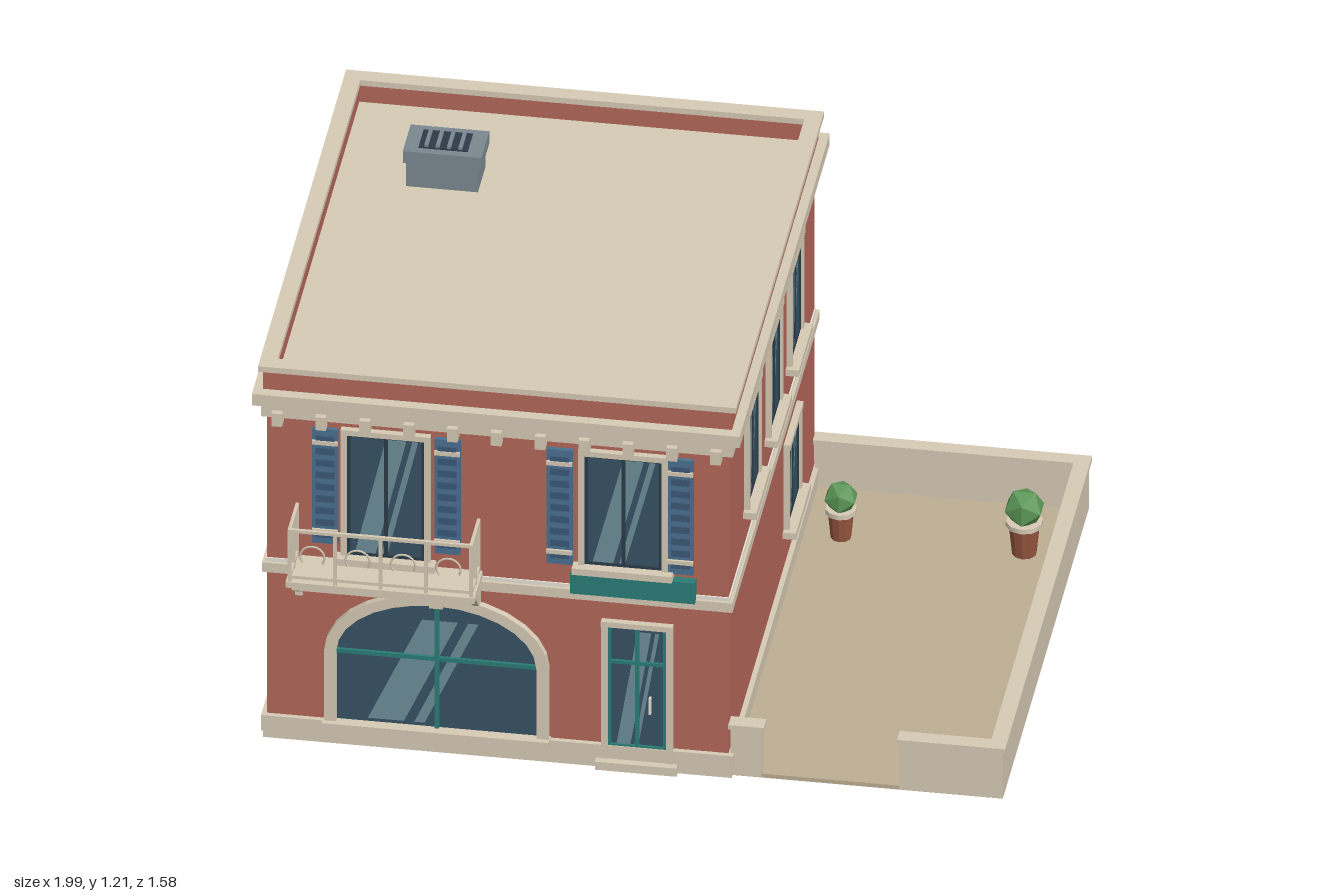
import * as THREE from 'three';

const mat = (color, opts = {}) => new THREE.MeshStandardMaterial({ color, ...opts });
const M = {
  brick: mat(0xb4675a), stone: mat(0xd6cab5), pale: mat(0xe9e3d6), floor: mat(0xbdae94), glass: mat(0x365265),
  shine: mat(0x6d8e9b, { side: THREE.DoubleSide }), sash: mat(0x2a3b47), teal: mat(0x2a7d76),
  shutter: mat(0x4b7090), slat: mat(0x3a5a78), metal: mat(0x7b8890), dark: mat(0x2c3a48),
  pot: mat(0x96553f, { flatShading: true }), leaf: mat(0x5c9657, { flatShading: true }),
};
// Main walls
const X0 = -0.955, X1 = 0.265, Z0 = -0.755, Z1 = 0.65;

function add(parent, name, geometry, material, x = 0, y = 0, z = 0) {
  const m = new THREE.Mesh(geometry, material);
  m.name = name;
  m.position.set(x, y, z);
  parent.add(m);
  return m;
}
// Box given by its two corners
function box(parent, name, material, x0, x1, y0, y1, z0, z1) {
  return add(parent, name, new THREE.BoxGeometry(x1 - x0, y1 - y0, z1 - z0), material,
    (x0 + x1) / 2, (y0 + y1) / 2, (z0 + z1) / 2);
}
function group(parent, name, x = 0, y = 0, z = 0, ry = 0) {
  const g = new THREE.Group();
  g.name = name;
  g.position.set(x, y, z);
  g.rotation.y = ry;
  parent.add(g);
  return g;
}
// Slab around the building that overhangs the walls by o
const course = (p, name, m, o, y0, y1) => box(p, name, m, X0 - o, X1 + o, y0, y1, Z0 - o, Z1 + o);

// Rectangular ring, extruded upward
function ring(parent, name, material, [ax, bx, az, bz], t, y0, y1) {
  const rect = (C, i) => new C([[ax + i, -bz + i], [bx - i, -bz + i], [bx - i, -az - i], [ax + i, -az - i]]
    .map(p => new THREE.Vector2(...p)));
  const s = rect(THREE.Shape, 0);
  s.holes.push(rect(THREE.Path, t));
  const g = new THREE.ExtrudeGeometry(s, { depth: y1 - y0, bevelEnabled: false }).rotateX(-Math.PI / 2);
  return add(parent, name, g, material, 0, y0, 0);
}

// Two slanted reflections on a pane
function shine(parent, w, h, x, y, z) {
  for (const [a, b] of [[-0.42, -0.14], [-0.06, 0.02]]) {
    const s = new THREE.Shape([[a, -0.5], [b, -0.5], [b + 0.42, 0.5], [a + 0.42, 0.5]]
      .map(([u, v]) => new THREE.Vector2(u * w, v * h)));
    add(parent, 'reflection', new THREE.ShapeGeometry(s), M.shine, x, y, z);
  }
}

// Framed window in wall space: x along the wall, z outward
function windowUnit(wall, x, y0, w, h, name = 'window') {
  const g = group(wall, name, x, y0, 0), t = 0.016, a = w / 2;
  box(g, 'glass', M.glass, -a, a, 0, h, -0.01, 0.004);
  shine(g, w * 0.95, h * 0.96, 0, h / 2, 0.005);
  box(g, 'centreSash', M.sash, -0.005, 0.005, 0, h, 0, 0.008);
  for (const s of [-1, 1]) {
    box(g, 'sash', M.sash, s * (a - 0.004) - 0.004, s * (a - 0.004) + 0.004, 0, h, 0, 0.008);
    box(g, 'frameSide', M.stone, s * (a + t / 2) - t / 2, s * (a + t / 2) + t / 2, 0, h + t, -0.005, 0.015);
  }
  for (const y of [0.004, h - 0.004]) box(g, 'sash', M.sash, -a, a, y - 0.004, y + 0.004, 0, 0.008);
  box(g, 'lintel', M.stone, -a - t, a + t, h, h + t, -0.005, 0.018);
  box(g, 'sill', M.stone, -a - 0.03, a + 0.03, -0.02, 0, -0.005, 0.035);
  return g;
}

function door(wall, x, name) {
  const g = group(wall, name, x), a = 0.077;
  box(g, 'glass', M.glass, -a, a, 0.03, 0.44, -0.01, 0.004);
  shine(g, a * 1.7, 0.35, 0, 0.25, 0.005);
  box(g, 'mullion', M.teal, -0.005, 0.005, 0.03, 0.44, 0, 0.011);
  box(g, 'transom', M.teal, -a, a, 0.325, 0.335, 0, 0.011);
  box(g, 'kickRail', M.teal, -a, a, 0.03, 0.075, 0, 0.011);
  for (const s of [-1, 1]) {
    box(g, 'stile', M.teal, s * 0.073 - 0.004, s * 0.073 + 0.004, 0.03, 0.44, 0, 0.011);
    box(g, 'frameSide', M.stone, s * 0.086 - 0.009, s * 0.086 + 0.009, 0.02, 0.456, -0.005, 0.016);
  }
  box(g, 'lintel', M.stone, -0.095, 0.095, 0.44, 0.456, -0.005, 0.018);
  box(g, 'handle', M.pale, 0.032, 0.038, 0.18, 0.23, 0.008, 0.02);
  box(g, 'doorStep', M.stone, -0.108, 0.108, 0.005, 0.03, 0, 0.035);
}

// Outline with a half-elliptical top
function archPoints(a, y0, spring, rise) {
  const pts = [new THREE.Vector2(-a, y0), new THREE.Vector2(a, y0)];
  for (let i = 0; i <= 14; i++) {
    const t = Math.PI * i / 14;
    pts.push(new THREE.Vector2(a * Math.cos(t), spring + rise * Math.sin(t)));
  }
  return pts;
}
function archWindow(wall, x) {
  const g = group(wall, 'archWindow', x);
  const inner = archPoints(0.265, 0.075, 0.29, 0.17);
  const ext = (s, depth) => new THREE.ExtrudeGeometry(s, { depth, bevelEnabled: false });
  const frame = new THREE.Shape(archPoints(0.297, 0.075, 0.29, 0.2));
  frame.holes.push(new THREE.Path(inner));
  add(g, 'archFrame', ext(frame, 0.025), M.stone, 0, 0, -0.005);
  add(g, 'glass', ext(new THREE.Shape(inner), 0.012), M.glass, 0, 0, -0.008);
  shine(g, 0.34, 0.32, -0.04, 0.245, 0.005);
  box(g, 'mullion', M.teal, -0.006, 0.006, 0.075, 0.46, 0, 0.012);
  box(g, 'transom', M.teal, -0.265, 0.265, 0.284, 0.296, 0, 0.012);
  box(g, 'sill', M.stone, -0.3, 0.3, 0.055, 0.075, -0.005, 0.035);
  box(g, 'keystone', M.stone, -0.018, 0.018, 0.455, 0.495, 0, 0.025);
}

function shutter(wall, x, y0, y1) {
  const g = group(wall, 'shutter', x);
  box(g, 'panel', M.shutter, -0.034, 0.034, y0, y1, -0.003, 0.012);
  for (let i = 0; i < 9; i++) {
    const y = y0 + 0.03 + i * (y1 - y0 - 0.06) / 8;
    box(g, 'louvre', M.slat, -0.025, 0.025, y - 0.01, y + 0.01, 0.008, 0.016);
  }
  for (const y of [y0 + 0.04, y1 - 0.04]) box(g, 'hingeStrap', M.stone, -0.034, 0.034, y - 0.006, y + 0.006, 0.01, 0.019);
}

function balcony(wall) {
  const g = group(wall, 'balcony', -0.635), r = 0.24, d = 0.127, t = 0.0045;
  box(g, 'slabLower', M.stone, -0.235, 0.235, 0.54, 0.555, 0, 0.125);
  box(g, 'slabTop', M.stone, -0.25, 0.25, 0.553, 0.57, 0, 0.135);
  for (const y of [0.585, 0.727]) {
    box(g, 'frontRail', M.stone, -r - t, r + t, y - t, y + t, d - t, d + t);
    for (const s of [-1, 1]) box(g, 'sideRail', M.stone, s * r - t, s * r + t, y - t, y + t, 0, d);
  }
  const post = (x, z) => box(g, 'post', M.stone, x - t, x + t, 0.565, 0.727, z - t, z + t);
  for (let i = 0; i < 5; i++) post(-r + i * r / 2, d);
  for (const s of [-1, 1]) {
    post(s * r, 0.065);
    post(s * r, 0.008);
    // Sloping support
    const strut = add(g, 'bracket', new THREE.BoxGeometry(0.018, 0.018, 0.115), M.stone, s * 0.235, 0.503, 0.038);
    strut.rotation.x = -Math.PI / 4;
    box(g, 'bracketPlate', M.stone, s * 0.235 - 0.01, s * 0.235 + 0.01, 0.45, 0.54, 0, 0.01);
  }
  // Curled ironwork between posts
  for (let i = 0; i < 4; i++) {
    const c = add(g, 'scroll', new THREE.TorusGeometry(0.032, 0.003, 5, 14, Math.PI * 1.4), M.stone, -r + (i + 0.5) * r / 2, 0.65, d);
    c.rotation.z = i < 2 ? -0.2 * Math.PI : -0.2 * Math.PI + 0.1;
  }
}

function plant(parent, x, z, r, top) {
  const g = group(parent, 'pottedPlant', x, 0.012, z), h = top - 1.75 * r;
  add(g, 'pot', new THREE.CylinderGeometry(r * 0.75, r * 0.58, h - 0.012, 10), M.pot, 0, (h - 0.012) / 2, 0);
  add(g, 'potRim', new THREE.CylinderGeometry(r * 0.88, r * 0.88, 0.014, 10), M.stone, 0, h - 0.012, 0);
  add(g, 'bush', new THREE.IcosahedronGeometry(r, 0), M.leaf, 0, top - r - 0.008, 0);
}

export function createModel() {
  const model = new THREE.Group();
  model.name = 'townHouse';

  // Walls, plinth, courses and cornice
  const house = group(model, 'house');
  course(house, 'walls', M.brick, 0, 0.004, 1.05);
  course(house, 'base', M.stone, 0.01, 0, 0.022);
  course(house, 'plinth', M.stone, 0.014, 0.022, 0.07);
  course(house, 'floorBand', M.stone, 0.012, 0.515, 0.544);
  course(house, 'bandFillet', M.pale, 0.004, 0.544, 0.555);
  course(house, 'corniceLower', M.stone, 0.014, 1.0, 1.045);
  course(house, 'corniceUpper', M.stone, 0.035, 1.045, 1.08);
  for (let i = 0; i < 11; i++) {
    const x = -0.925 + i * 0.116;
    box(house, 'dentil', M.stone, x - 0.014, x + 0.014, 0.982, 1.022, Z1, Z1 + 0.03);
  }
  ring(house, 'parapet', M.brick, [-0.965, 0.275, -0.765, 0.655], 0.03, 1.08, 1.14);
  ring(house, 'coping', M.stone, [-0.977, 0.287, -0.777, 0.665], 0.045, 1.138, 1.155);
  box(house, 'roofDeck', M.stone, X0, X1, 1.075, 1.086, Z0, Z1);

  // Rooftop unit with a slatted vent
  const unit = group(model, 'roofUnit');
  box(unit, 'casing', M.metal, -0.75, -0.56, 1.085, 1.19, -0.475, -0.355);
  box(unit, 'lid', M.metal, -0.758, -0.55, 1.16, 1.197, -0.48, -0.35);
  box(unit, 'vent', M.dark, -0.72, -0.59, 1.19, 1.2, -0.458, -0.372);
  for (let i = 0; i < 4; i++) {
    const x = -0.7 + i * 0.03;
    box(unit, 'ventSlat', M.metal, x - 0.005, x + 0.005, 1.195, 1.207, -0.455, -0.375);
  }

  // Front wall
  const front = group(model, 'frontWall', 0, 0, Z1, 0);
  archWindow(front, -0.505);
  door(front, 0.025, 'frontDoor');
  windowUnit(front, -0.64, 0.59, 0.205, 0.375, 'balconyDoor');
  windowUnit(front, -0.012, 0.625, 0.205, 0.34);
  for (const x of [-0.8, -0.477, -0.18, 0.14]) shutter(front, x, 0.62, 0.975);
  box(front, 'signBoard', M.teal, -0.15, 0.18, 0.54, 0.605, 0, 0.025);
  balcony(front);

  // Side walls; the ground-floor window differs in place
  const right = group(model, 'yardSideWall', X1, 0, 0, Math.PI / 2);
  const left = group(model, 'farSideWall', X0, 0, 0, -Math.PI / 2);
  for (const z of [0.295, -0.055, -0.4]) {
    windowUnit(right, -z, 0.665, 0.17, 0.292);
    windowUnit(left, z, 0.665, 0.17, 0.292);
  }
  windowUnit(right, 0.36, 0.188, 0.185, 0.247);
  windowUnit(left, 0.28, 0.188, 0.185, 0.247);

  // Back wall
  const back = group(model, 'backWall', 0, 0, Z0, Math.PI);
  for (const x of [0.14, 0.55]) windowUnit(back, x, 0.665, 0.17, 0.292);
  door(back, 0.32, 'backDoor');

  // Walled yard with a gap at the front
  const yard = group(model, 'yard');
  box(yard, 'yardFloor', M.floor, X1, 0.985, 0, 0.012, -0.76, 0.645);
  const yardWall = (x0, x1, z0, z1) => {
    box(yard, 'yardWall', M.stone, x0, x1, 0.002, 0.146, z0, z1);
    box(yard, 'yardWallCap', M.stone, x0 - 0.006, x1 + 0.007, 0.146, 0.16, z0 - 0.007, z1 + 0.007);
  };
  yardWall(0.96, 0.99, -0.765, 0.647);
  yardWall(0.27, 0.96, -0.765, -0.737);
  yardWall(0.717, 0.96, 0.617, 0.647);
  yardWall(0.27, 0.352, 0.617, 0.647);
  plant(yard, 0.375, -0.51, 0.047, 0.178);
  plant(yard, 0.86, -0.51, 0.056, 0.205);
  return model;
}
